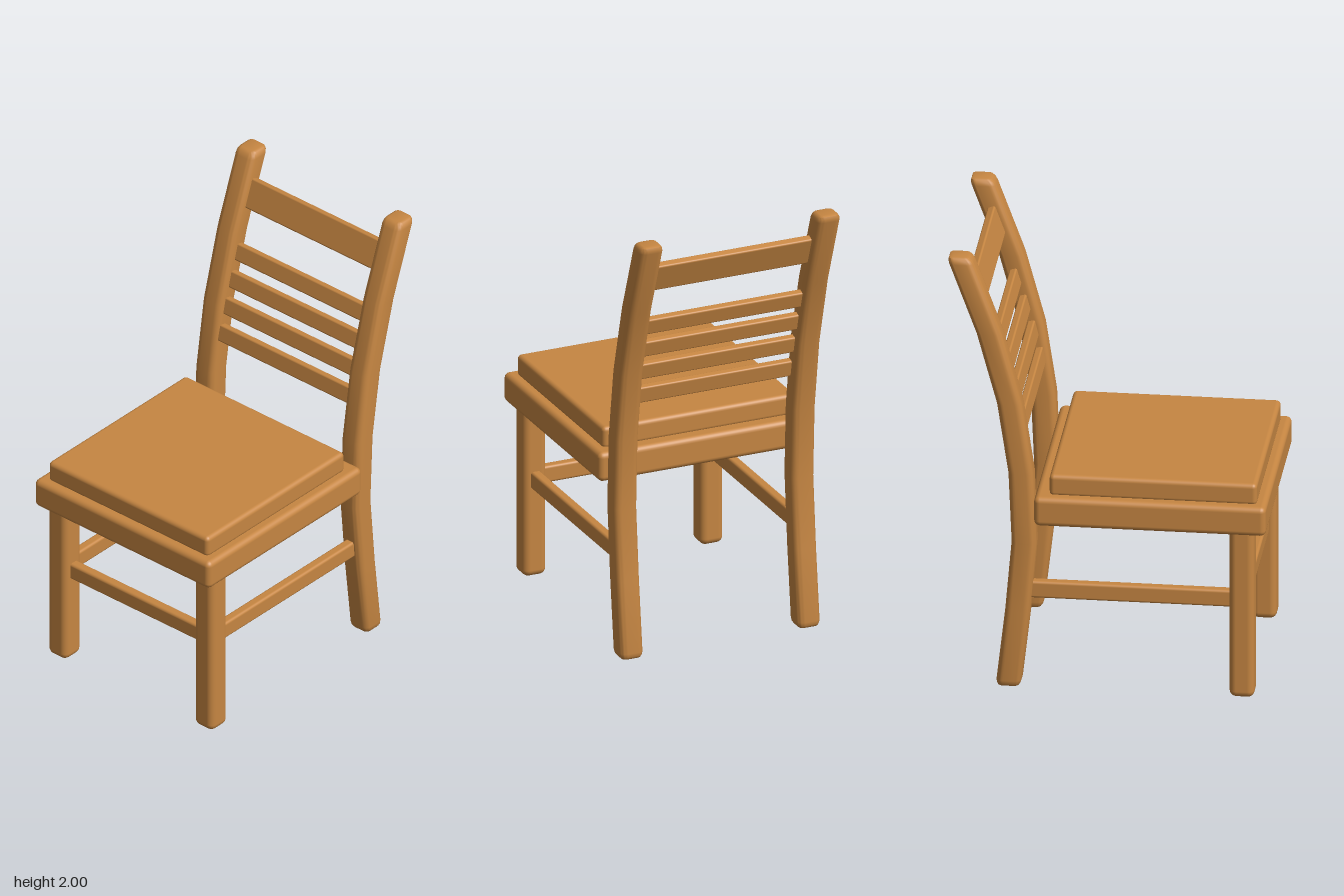
import * as THREE from 'three';
import { RoundedBoxGeometry } from 'three/addons/geometries/RoundedBoxGeometry.js';
import { toCreasedNormals } from 'three/addons/utils/BufferGeometryUtils.js';

// centre line of the curved back posts: [y, x]
const CURVE = [[0.03, 0.422], [0.353, 0.385], [0.677, 0.357], [1.0, 0.371], [1.323, 0.42], [1.647, 0.508], [1.97, 0.627]];

function curveX(y) {
  let i = 0;
  while (i < CURVE.length - 2 && y > CURVE[i + 1][0]) i++;
  const [y0, x0] = CURVE[i], [y1, x1] = CURVE[i + 1];
  return x0 + (x1 - x0) * (y - y0) / (y1 - y0);
}

// rounded square post standing on y = 0, bent along the centre line
function postGeometry(width, height, r) {
  const a = width / 2, b = a - r;
  const s = new THREE.Shape();
  s.absarc(b, b, r, 0, Math.PI / 2);
  s.absarc(-b, b, r, Math.PI / 2, Math.PI);
  s.absarc(-b, -b, r, Math.PI, Math.PI * 1.5);
  s.absarc(b, -b, r, Math.PI * 1.5, Math.PI * 2);
  const bevel = 0.03, size = 0.02;
  const g = new THREE.ExtrudeGeometry(s, {
    depth: height - 2 * bevel, steps: CURVE.length - 1, curveSegments: 3,
    bevelThickness: bevel, bevelSize: size, bevelOffset: -size, bevelSegments: 3,
  });
  g.rotateX(-Math.PI / 2).translate(0, bevel, 0);
  const p = g.attributes.position;
  for (let i = 0; i < p.count; i++) p.setX(i, p.getX(i) + curveX(p.getY(i)));
  return toCreasedNormals(g, 0.7);
}

export function createModel() {
  const chair = new THREE.Group();
  chair.name = 'chair';
  const wood = new THREE.MeshStandardMaterial({ color: 0xc68642 });
  wood.name = 'warm wood';

  function add(name, geometry, x = 0, y = 0, z = 0) {
    const m = new THREE.Mesh(geometry, wood);
    m.name = name;
    m.position.set(x, y, z);
    chair.add(m);
    return m;
  }
  const bar = (w, h, d, r) => new RoundedBoxGeometry(w, h, d, 3, r);

  // seat and the raised panel on it
  add('seat', bar(1.0, 0.135, 1.0, 0.025), -0.19, 0.84, 0);
  add('seatPanel', bar(0.895, 0.1, 0.91, 0.02), -0.2, 0.948, 0);

  // legs, posts and side stretchers, mirrored
  const post = postGeometry(0.108, 2, 0.03);
  for (const side of [1, -1]) {
    const label = side > 0 ? 'Near' : 'Far';
    add('frontLeg' + label, bar(0.108, 0.82, 0.108, 0.03), -0.583, 0.41, side * 0.417);
    add('backPost' + label, post, 0, 0, side * 0.417);
    add('sideStretcher' + label, bar(0.95, 0.078, 0.045, 0.012), -0.105, 0.45, side * 0.417);
  }
  add('frontStretcher', bar(0.045, 0.078, 0.76, 0.012), -0.583, 0.45, 0);

  // back slats, tilted with the posts
  const slat = bar(0.034, 0.078, 0.76, 0.008);
  [[0.38, 1.19], [0.412, 1.313], [0.448, 1.432], [0.488, 1.552]].forEach(([x, y], i) => {
    add('backSlat' + (i + 1), slat, x, y, 0).rotation.z = -0.2 - 0.03 * i;
  });
  add('topRail', bar(0.036, 0.137, 0.76, 0.008), 0.57, 1.812, 0).rotation.z = -0.35;

  return chair;
}
